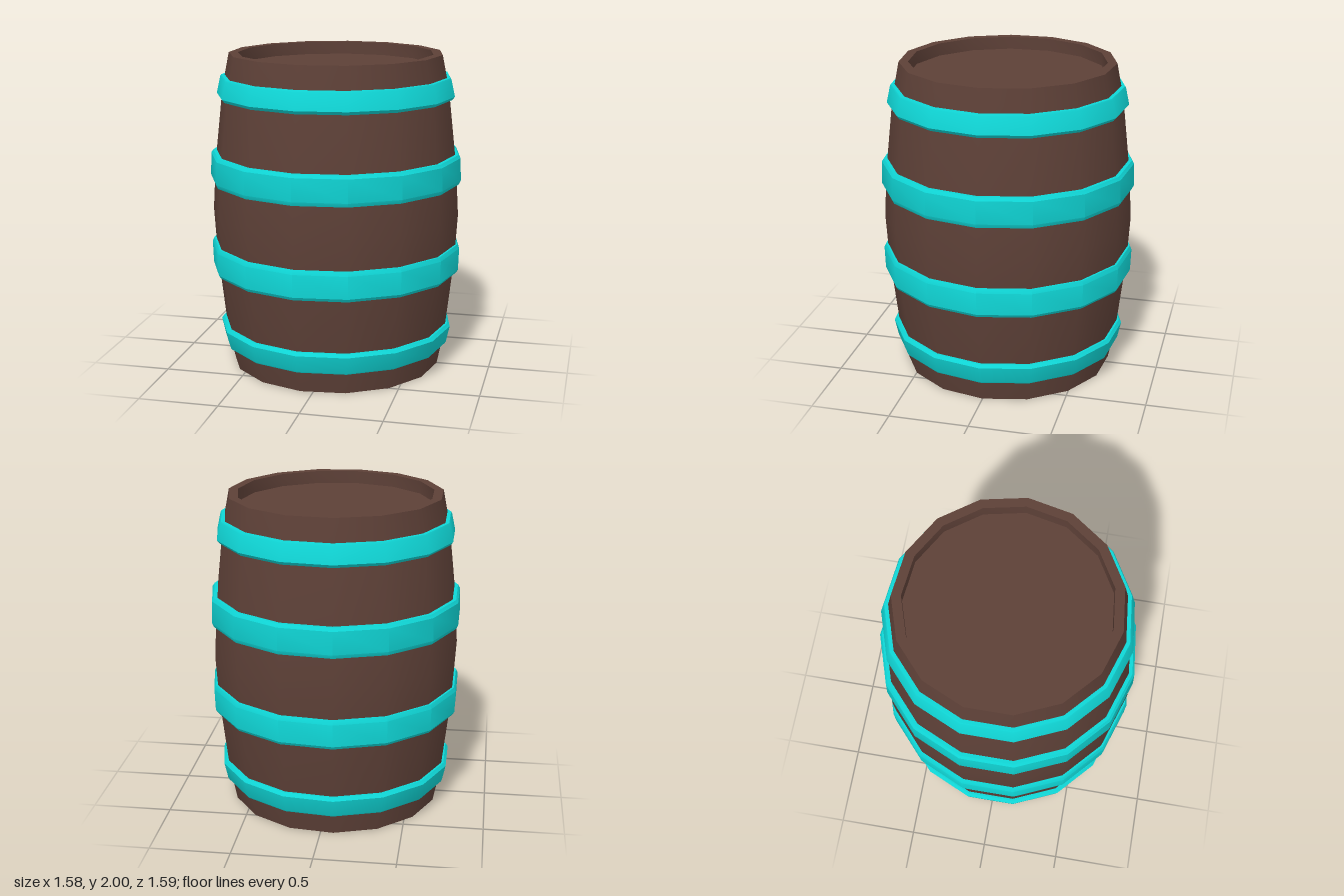
import * as THREE from 'three';
import { toCreasedNormals } from 'three/addons/utils/BufferGeometryUtils.js';

const SIDES = 15;
const wood = new THREE.MeshStandardMaterial({ color: 0x5d4037 });
const hoopPaint = new THREE.MeshStandardMaterial({ color: 0x0fd6d6 });

// Revolve a [radius, y] profile, smooth around the barrel and sharp at rims
function revolve(name, profile, material) {
  const points = profile.map(([r, y]) => new THREE.Vector2(r, y));
  const lathe = new THREE.LatheGeometry(points, SIDES, Math.PI / 2);
  const mesh = new THREE.Mesh(toCreasedNormals(lathe, Math.PI / 6), material);
  mesh.name = name;
  return mesh;
}

// Reflect a profile about mid-height, keeping its winding
const mirror = (profile) => profile.map(([r, y]) => [r, 2 - y]).reverse();

export function createModel() {
  const barrel = new THREE.Group();
  barrel.name = 'barrel';

  // Bulging staves with a recessed head at each end
  const lowerHalf = [
    [0, 0.08], [0.613, 0.08], [0.613, 0], [0.671, 0],
    [0.715, 0.22], [0.769, 0.7],
  ];
  barrel.add(revolve('staves', [...lowerHalf, [0.787, 1], ...mirror(lowerHalf)], wood));

  // Hoops: tapered bands with chamfered edges, mirrored top and bottom
  const hoops = {
    EndHoop: [
      [0.66, 1.725], [0.735, 1.725], [0.751, 1.745],
      [0.728, 1.85], [0.722, 1.86], [0.66, 1.86],
    ],
    MiddleHoop: [
      [0.74, 1.195], [0.788, 1.195], [0.8, 1.22],
      [0.795, 1.362], [0.782, 1.382], [0.74, 1.382],
    ],
  };
  for (const [name, profile] of Object.entries(hoops)) {
    barrel.add(revolve('upper' + name, profile, hoopPaint));
    barrel.add(revolve('lower' + name, mirror(profile), hoopPaint));
  }

  // An odd number of sides is lopsided in x, so shift it to centre
  for (const part of barrel.children) part.position.x = -0.0087;
  return barrel;
}
